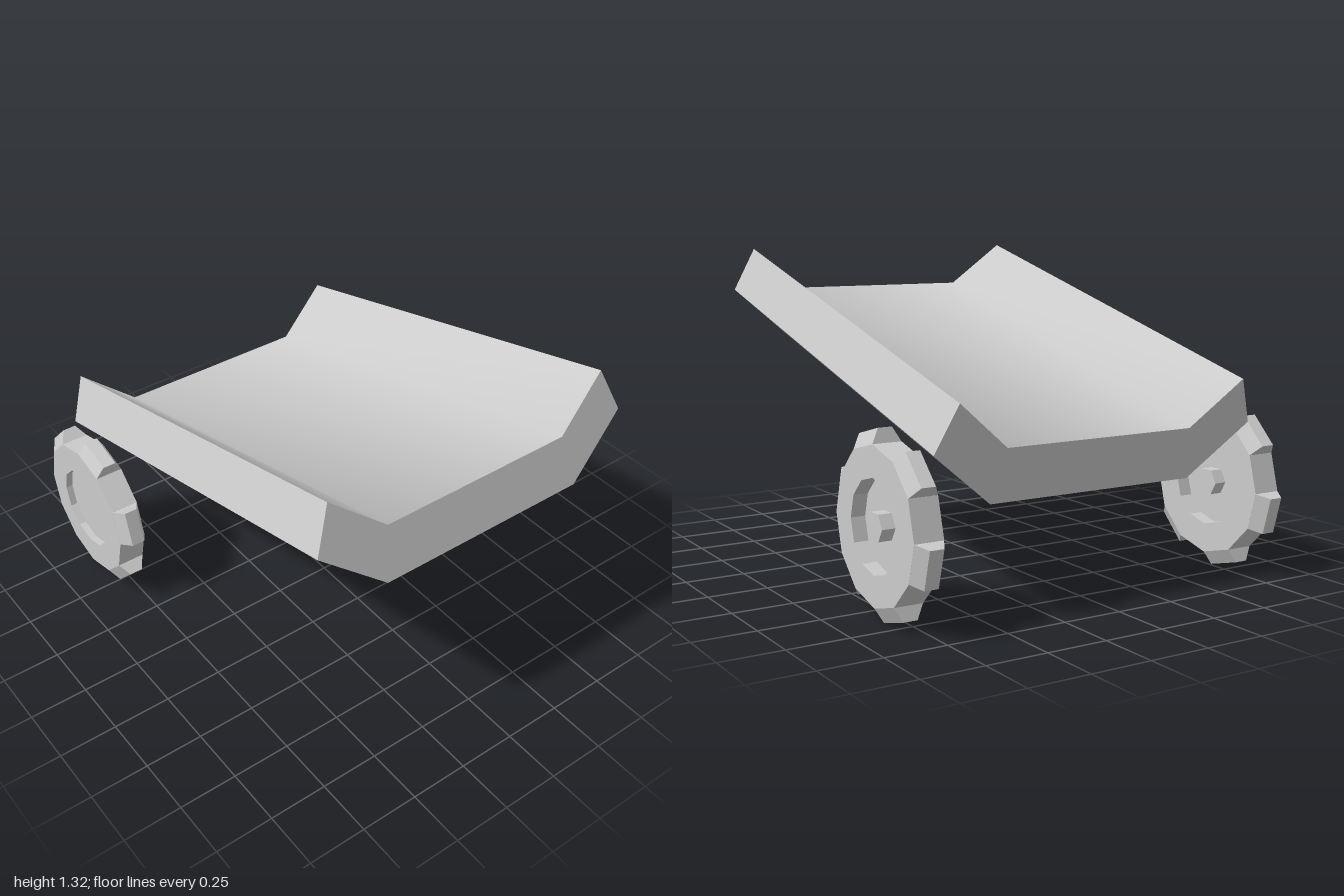
import * as THREE from 'three';
import { toCreasedNormals } from 'three/addons/utils/BufferGeometryUtils.js';

const smooth = new THREE.MeshStandardMaterial({ color: 0xcccccc });
const faceted = new THREE.MeshStandardMaterial({ color: 0xcccccc, flatShading: true });

function addMesh(parent, name, geometry, material) {
  const mesh = new THREE.Mesh(geometry, material);
  mesh.name = name;
  parent.add(mesh);
  return mesh;
}

// Tilted tray: a shallow trough section swept from back to front
function createTray() {
  const half = [[0.465, 0], [0.735, 0.222], [0.657, 0.414], [0.427, 0.222]];
  const mirrored = half.map(([x, y]) => [-x, y]).reverse();
  const shape = new THREE.Shape([...half, ...mirrored].map(([x, y]) => new THREE.Vector2(x, y)));
  const geometry = new THREE.ExtrudeGeometry(shape, { depth: 1.89, bevelEnabled: false });
  const tray = new THREE.Mesh(toCreasedNormals(geometry, 0.9), smooth);
  tray.name = 'tray';
  tray.rotation.x = -THREE.MathUtils.degToRad(15.03);
  tray.position.set(0, 0.435, -0.825);
  return tray;
}

// Twelve-sided wheel around the x axis, recessed on both faces
function createWheel(name) {
  const wheel = new THREE.Group();
  wheel.name = name;

  const profile = [
    [0, -0.03], [0.182, -0.03], [0.182, -0.06], [0.305, -0.06],
    [0.305, 0.06], [0.182, 0.06], [0.182, 0], [0, 0],
  ].map(([r, y]) => new THREE.Vector2(r, y));
  addMesh(wheel, 'rim', new THREE.LatheGeometry(profile, 12).rotateZ(-Math.PI / 2), faceted);

  // Hexagonal nub, on the +x face only
  const nub = new THREE.CylinderGeometry(0.059, 0.059, 0.06, 6).rotateZ(-Math.PI / 2);
  addMesh(wheel, 'axleNub', nub.translate(0.025, 0, 0), faceted);

  // Tread blocks on every other side, tapering outward
  for (let i = 0; i < 6; i++) {
    const block = new THREE.BoxGeometry(0.12, 0.058, 0.157);
    const p = block.attributes.position;
    for (let v = 0; v < p.count; v++) if (p.getY(v) > 0) p.setX(v, p.getX(v) * 0.48);
    block.translate(0, 0.323, 0).rotateX(Math.PI / 12 + (i * Math.PI) / 3);
    addMesh(wheel, 'tread', block, faceted);
  }
  return wheel;
}

export function createModel() {
  const model = new THREE.Group();
  model.name = 'cart';
  model.add(createTray());
  for (const [name, x] of [['leftWheel', 0.79], ['rightWheel', -0.79]]) {
    const wheel = createWheel(name);
    wheel.position.set(x, 0.361, -0.64);
    model.add(wheel);
  }
  return model;
}
